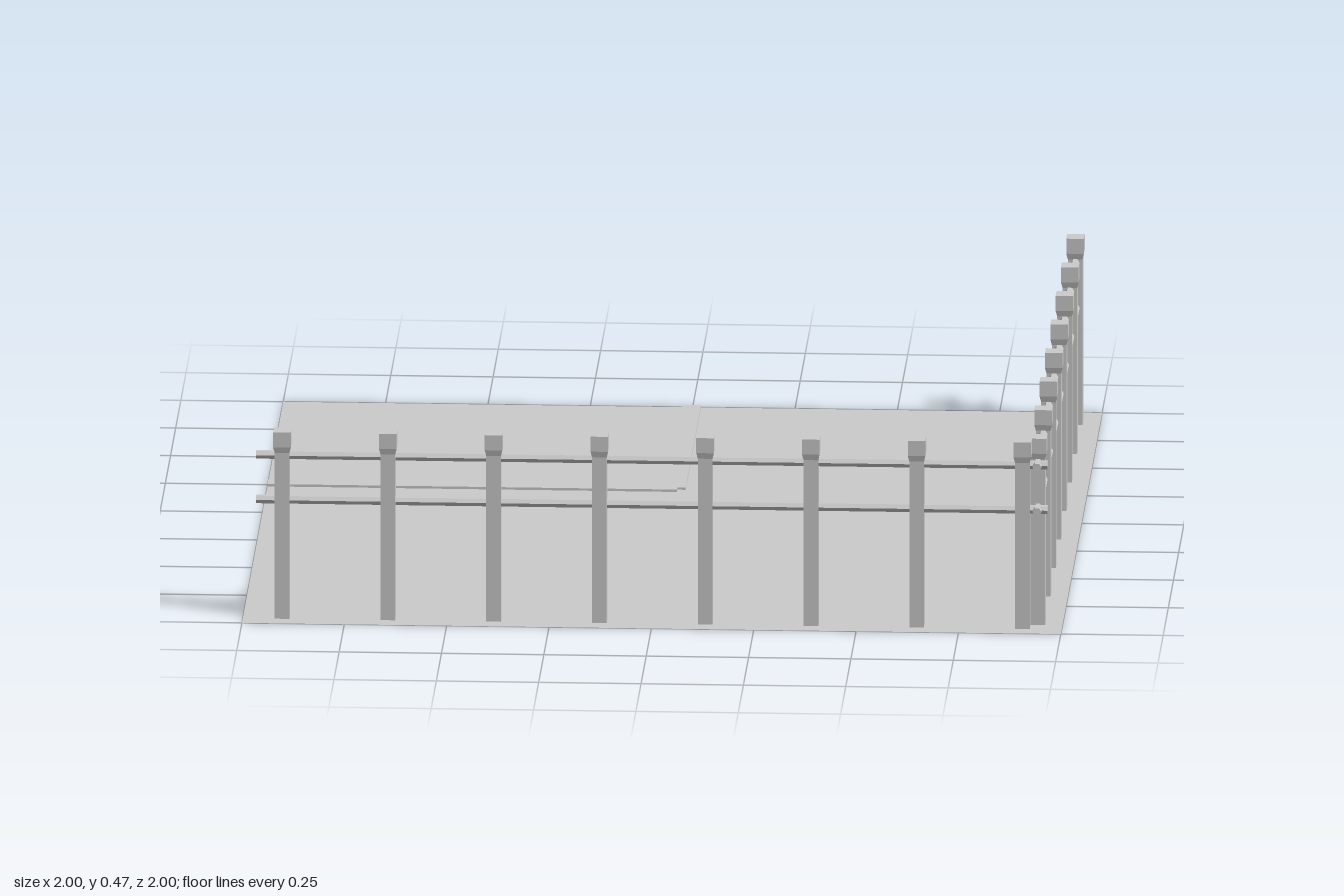
import * as THREE from 'three';

const POST_W = 0.036, CAP_W = 0.043;

export function createModel() {
  const model = new THREE.Group();
  model.name = 'fencedYard';
  const grey = new THREE.MeshStandardMaterial({ color: 0xcccccc });
  grey.name = 'plain grey';
  const greySheet = new THREE.MeshStandardMaterial({ color: 0xcccccc, side: THREE.DoubleSide });
  greySheet.name = 'plain grey sheet';

  function add(parent, name, geometry, x, y, z, material = grey) {
    const mesh = new THREE.Mesh(geometry, material);
    mesh.name = name;
    mesh.position.set(x, y, z);
    parent.add(mesh);
    return mesh;
  }

  // Ground sheet
  add(model, 'ground', new THREE.PlaneGeometry(2, 2).rotateX(-Math.PI / 2), 0, 0, 0, greySheet);

  // Low kerb around the back corner plot
  const kerbH = 0.006;
  add(model, 'kerbFront', new THREE.BoxGeometry(1, kerbH, 0.045), -0.5, kerbH / 2, -0.257);
  add(model, 'kerbSide', new THREE.BoxGeometry(0.045, kerbH, 0.745), -0.002, kerbH / 2, -0.6275);

  // Shared fence parts: square post, flared collar, cap and six-sided rail
  const postGeo = new THREE.BoxGeometry(POST_W, 0.42, POST_W);
  const collarGeo = new THREE.CylinderGeometry(
    CAP_W * Math.SQRT1_2, POST_W * Math.SQRT1_2, 0.015, 4, 1, true)
    .rotateY(Math.PI / 4).toNonIndexed();
  collarGeo.computeVertexNormals();
  const capGeo = new THREE.BoxGeometry(CAP_W, 0.038, CAP_W);
  const railGeo = new THREE.CylinderGeometry(0.011, 0.011, 1.933, 6)
    .rotateZ(Math.PI / 2).toNonIndexed();
  railGeo.computeVertexNormals();

  // A run of fence along local x
  function makeFence(name) {
    const fence = new THREE.Group();
    fence.name = name;
    for (let i = 0; i < 8; i++) {
      const x = -0.904 + i * 0.2583;
      add(fence, 'post', postGeo, x, 0.21, 0);
      add(fence, 'postCollar', collarGeo, x, 0.4275, 0);
      add(fence, 'postCap', capGeo, x, 0.454, 0);
    }
    add(fence, 'upperRail', railGeo, -0.0015, 0.411, 0);
    add(fence, 'lowerRail', railGeo, -0.0015, 0.298, 0);
    model.add(fence);
    return fence;
  }

  makeFence('frontFence').position.z = 0.94;
  const side = makeFence('leftFence');
  side.rotation.y = -Math.PI / 2; // local +x runs towards the front
  side.position.x = 0.94;

  return model;
}
